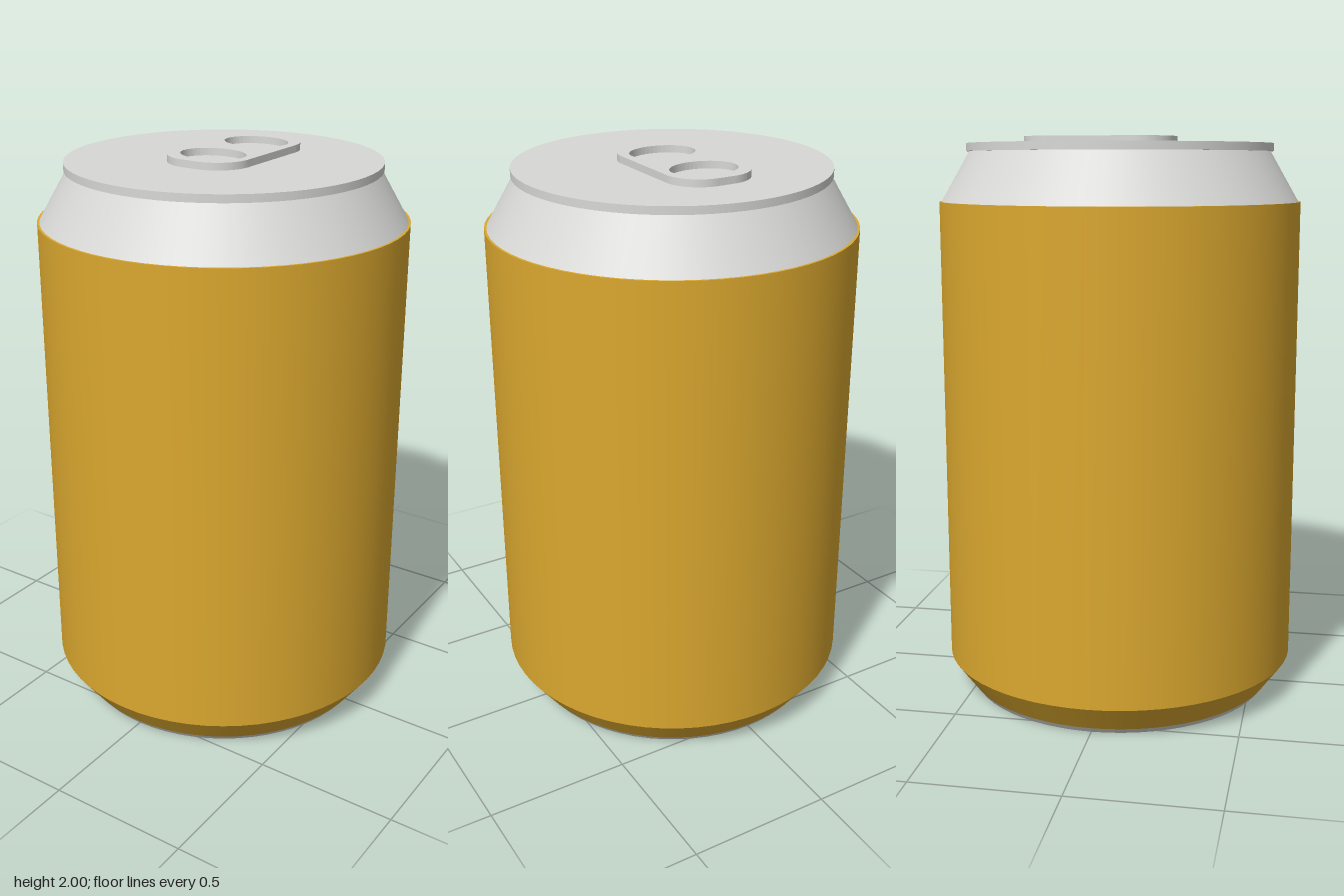
import * as THREE from 'three';

export function createModel() {
  const can = new THREE.Group();
  can.name = 'drinkCan';
  const gold = new THREE.MeshStandardMaterial({ color: 0xdba82f });
  gold.name = 'gold paint';
  const silver = new THREE.MeshStandardMaterial({ color: 0xd8d8d6 });
  silver.name = 'bare aluminium';

  const add = (name, geometry, material) => {
    const mesh = new THREE.Mesh(geometry, material);
    mesh.name = name;
    can.add(mesh);
    return mesh;
  };

  // Round wall from bottom (r0, y0) to top (r1, y1); caps are optional
  const ring = (name, r0, y0, r1, y1, material, capped = false) => {
    const geometry = new THREE.CylinderGeometry(r1, r0, y1 - y0, 64, 1, !capped);
    geometry.translate(0, (y0 + y1) / 2, 0);
    return add(name, geometry, material);
  };

  // Flat annulus, facing up or down
  const annulus = (name, inner, outer, y, up, material) => {
    const geometry = new THREE.RingGeometry(inner, outer, 64);
    geometry.rotateX(up ? -Math.PI / 2 : Math.PI / 2);
    geometry.translate(0, y, 0);
    return add(name, geometry, material);
  };

  // Painted shell
  ring('body', 0.638, 0.12, 0.638, 1.775, gold);
  ring('lowerTaper', 0.565, 0.02, 0.638, 0.12, gold);
  annulus('shoulderEdge', 0.628, 0.638, 1.775, true, gold);

  // Base rim and bottom disc
  ring('baseRim', 0.55, 0, 0.565, 0.02, silver);
  annulus('baseRimUnderside', 0.54, 0.55, 0, false, silver);
  const bottom = new THREE.CircleGeometry(0.54, 64);
  bottom.rotateX(Math.PI / 2);
  add('bottom', bottom, gold);

  // Bare neck and lid
  ring('neck', 0.63, 1.775, 0.53, 1.948, silver);
  ring('lid', 0.541, 1.948, 0.541, 1.975, silver, true);

  // Pull tab: rounded plate with two oval holes (shape y becomes -z)
  const w = 0.15, back = 0.337, front = -0.2, r = 0.12;
  const plate = new THREE.Shape();
  plate.absarc(w - r, back - r, r, 0, Math.PI / 2, false);
  plate.absarc(r - w, back - r, r, Math.PI / 2, Math.PI, false);
  plate.absarc(r - w, front + r, r, Math.PI, Math.PI * 1.5, false);
  plate.absarc(w - r, front + r, r, Math.PI * 1.5, Math.PI * 2, false);
  plate.closePath();
  for (const y of [0.202, -0.064]) {
    const hole = new THREE.Path();
    hole.absellipse(0, y, 0.118, 0.093, 0, Math.PI * 2, true);
    plate.holes.push(hole);
  }
  const tab = new THREE.ExtrudeGeometry(plate, { depth: 0.025, bevelEnabled: false, curveSegments: 24 });
  tab.rotateX(-Math.PI / 2);
  tab.translate(0, 1.975, 0);
  add('pullTab', tab, silver);

  return can;
}
